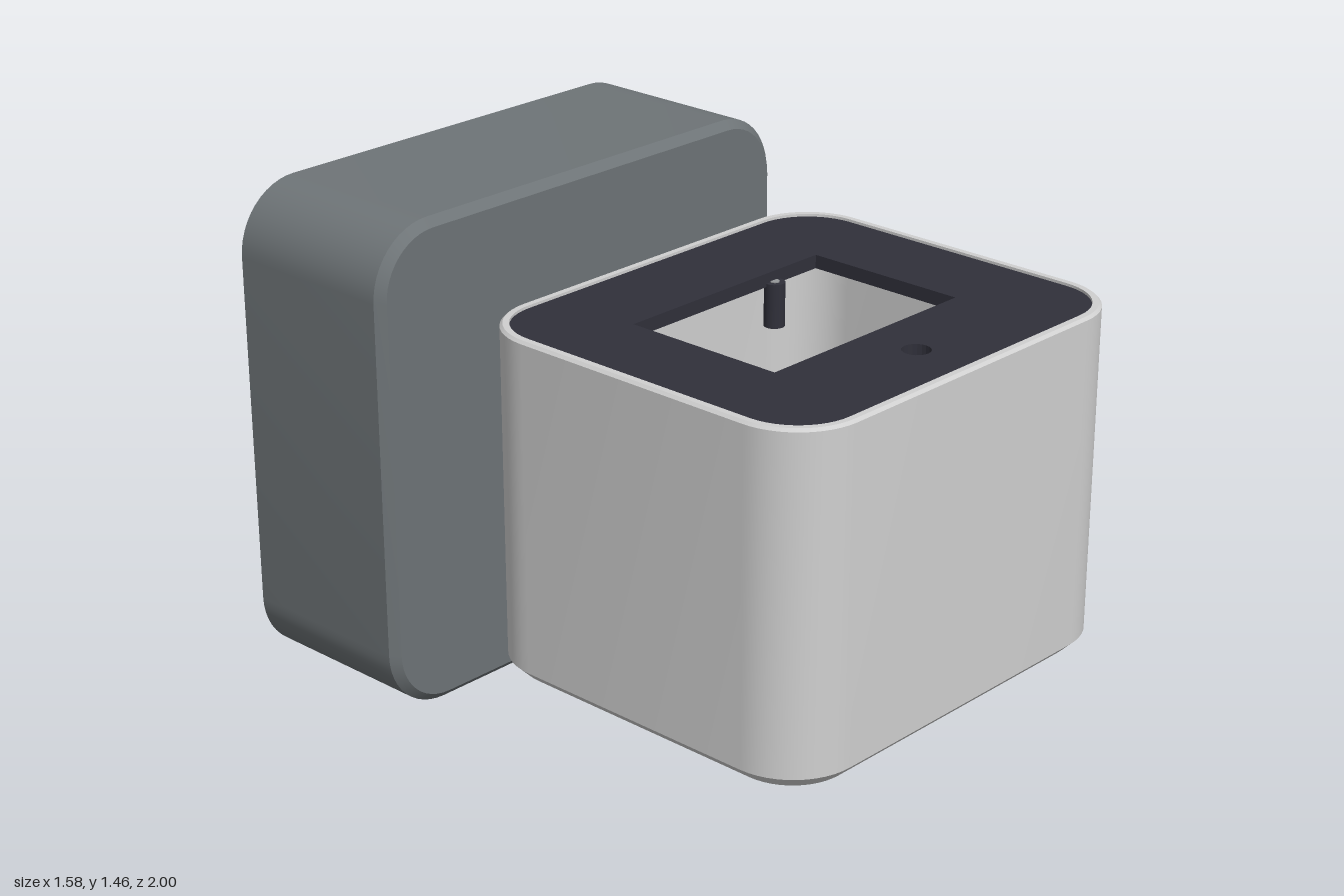
import * as THREE from 'three';
import { toCreasedNormals } from 'three/addons/utils/BufferGeometryUtils.js';

const mat = (name, color) => Object.assign(new THREE.MeshStandardMaterial({ color }), { name });

// Counter-clockwise rounded rectangle, pulled in by `inset`
function ring(w, h, r, inset = 0) {
  const pts = [], n = 12, rr = r - inset;
  const corners = [[1, 1], [-1, 1], [-1, -1], [1, -1]];
  corners.forEach(([sx, sy], c) => {
    for (let i = 0; i <= n; i++) {
      const a = (c + i / n) * Math.PI / 2;
      pts.push(new THREE.Vector2(sx * (w / 2 - r) + rr * Math.cos(a), sy * (h / 2 - r) + rr * Math.sin(a)));
    }
  });
  return pts;
}

// Wall through a list of [inset, height] steps
function shell(w, h, r, steps) {
  const pos = [], idx = [], n = ring(w, h, r).length;
  steps.forEach(([inset, t]) => ring(w, h, r, inset).forEach(p => pos.push(p.x, p.y, t)));
  for (let k = 0; k < steps.length - 1; k++) {
    for (let i = 0; i < n; i++) {
      const j = (i + 1) % n, a = k * n + i, b = k * n + j;
      idx.push(a, b, b + n, a, b + n, a + n);
    }
  }
  const g = new THREE.BufferGeometry();
  g.setAttribute('position', new THREE.Float32BufferAttribute(pos, 3));
  g.setIndex(idx);
  return toCreasedNormals(g, 0.5);
}

// Flat plate with holes, from z = t up
function plate(points, t, depth, holes = []) {
  const s = new THREE.Shape(points);
  s.holes.push(...holes);
  return new THREE.ExtrudeGeometry(s, { depth, bevelEnabled: false, curveSegments: 10 }).translate(0, 0, t);
}

const roundHole = (x, y, r) => new THREE.Path().absarc(x, y, r, 0, Math.PI * 2, true);
const slot = (x, y, w, h) => new THREE.Path([[-1, -1], [-1, 1], [1, 1], [1, -1]]
  .map(([a, b]) => new THREE.Vector2(x + a * w / 2, y + b * h / 2)));

export function createModel() {
  const root = new THREE.Group();
  const white = mat('light grey plastic', 0xd0d0d0);
  const grey = mat('slate grey plastic', 0x6e7477);
  const dark = mat('dark lid', 0x30303a);
  const yellow = mat('yellow board', 0xd0c148);
  const black = mat('black connector', 0x3a3a3a);
  const metal = mat('metal grey', 0x96989a);

  const group = (name, parent = root) => {
    const g = new THREE.Group();
    g.name = name;
    parent.add(g);
    return g;
  };
  const add = (parent, name, geo, m, x = 0, y = 0, z = 0) => {
    const o = new THREE.Mesh(geo, m);
    o.name = name;
    o.position.set(x, y, z);
    parent.add(o);
    return o;
  };
  const box = (w, h, d) => new THREE.BoxGeometry(w, h, d);

  // Rear housing: bevelled shell, front plate, recessed back plate
  const W = 1.58, H = 1.455, R = 0.2, C = 0.025;
  const housing = group('rearHousing');
  housing.position.y = H / 2;
  add(housing, 'housingShell', shell(W, H, R, [[C, -1], [0, -1 + C], [0, -0.4 - C], [C, -0.4]]), grey);
  add(housing, 'frontPlate', plate(ring(W, H, R, C), -0.43, 0.03), grey);
  const holes = [slot(0.625, -0.07, 0.04, 0.635), slot(0.16, -0.34, 0.26, 0.055), slot(0.48, -0.545, 0.26, 0.055),
    roundHole(0.22, 0, 0.018), roundHole(0.02, 0, 0.018)];
  for (const x of [-0.67, 0.67]) for (const y of [-0.615, 0.615]) holes.push(roundHole(x, y, 0.035));
  add(housing, 'backPlate', plate(ring(W, H, R, C), -1, 0.05, holes), grey);
  add(housing, 'recessFloor', plate(ring(W, H, R, C), -0.95, 0.01), grey);

  // Underside fittings of the housing
  const under = group('undersideFittings');
  add(under, 'batteryDoor', box(0.46, 0.006, 0.5), grey, -0.36, 0, -0.7);
  add(under, 'doorScrew', new THREE.CylinderGeometry(0.018, 0.018, 0.009, 16), black, -0.38, 0, -0.52);
  add(under, 'socket', box(0.14, 0.008, 0.06), metal, 0.46, 0, -0.69);
  add(under, 'socketOpening', box(0.11, 0.009, 0.035), black, 0.46, -0.001, -0.69);
  add(under, 'switch', box(0.09, 0.008, 0.035), metal, 0.46, 0, -0.93);
  for (let i = -4; i <= 4; i++) {
    const x = i * 0.035;
    add(under, 'speakerSlit', box(0.012, 0.006, 2 * Math.sqrt(0.165 ** 2 - x * x)), metal, 0.11 + x, 0, -0.67);
  }

  // Neck with a flared flange against the housing
  const profile = [[0.14, -0.17], [0.14, -0.33], [0.2, -0.387], [0.2, -0.4]]
    .map(([r, z]) => new THREE.Vector2(r, z)).reverse();
  const neckGeo = toCreasedNormals(new THREE.LatheGeometry(profile, 48), 0.5).rotateX(Math.PI / 2);
  add(root, 'neck', neckGeo, white, 0, 0.67, 0);

  // Front cup, modelled with z up and then stood upright
  const cw = 1.35, cd = 1.18, cr = 0.2;
  const cup = group('frontCup');
  cup.position.z = 0.41;
  const upright = g => g.rotateX(-Math.PI / 2);
  add(cup, 'cupWall', upright(shell(cw, cd, cr, [[0.037, 0.225], [0, 0.262], [0, 1.23], [0.008, 1.238],
    [0.026, 1.238], [0.026, 0.25]])), white);
  const feet = [[0.34, 0.584], [0.34, 0.05], [-0.42, 0.325], [-0.42, 0.66]];
  add(cup, 'cupFloor', upright(plate(ring(cw, cd, cr, 0.037), 0.225, 0.04,
    feet.map(([x, z]) => roundHole(x, 0.41 - z, 0.018)))), white);

  // Lid with a display window and a button hole
  add(cup, 'lid', upright(plate(ring(cw, cd, cr, 0.026), 1.19, 0.04,
    [slot(0, 0.025, 0.74, 0.5), roundHole(0, -0.39, 0.04)])), dark);
  for (const x of [-0.385, 0.19]) {
    for (const z of [0.14, 0.635]) {
      add(cup, 'displayPost', new THREE.CylinderGeometry(0.03, 0.03, 0.13, 20), dark, x, 1.135, z - 0.41);
      add(cup, 'postInsert', new THREE.CylinderGeometry(0.014, 0.014, 0.006, 16), metal, x, 1.2, z - 0.41);
    }
  }

  // Circuit board on the cup floor
  const board = group('circuitBoard', cup);
  board.position.z = -0.41;
  add(board, 'board', box(1.0, 0.02, 0.74), yellow, 0, 0.34, 0.35);
  add(board, 'module', box(0.36, 0.03, 0.285), white, -0.04, 0.365, 0.367);
  add(board, 'connector', box(0.05, 0.02, 0.075), black, 0.085, 0.385, 0.263);
  for (const [x, z] of feet) {
    add(board, 'boardPost', new THREE.CylinderGeometry(0.035, 0.035, 0.065, 16), white, x, 0.2975, z);
  }

  // Cable passage where the neck meets the cup
  add(cup, 'cablePassage', new THREE.CylinderGeometry(0.14, 0.14, 0.008, 8).rotateY(Math.PI / 8).rotateX(Math.PI / 2),
    metal, 0, 0.67, -0.562);
  return root;
}
